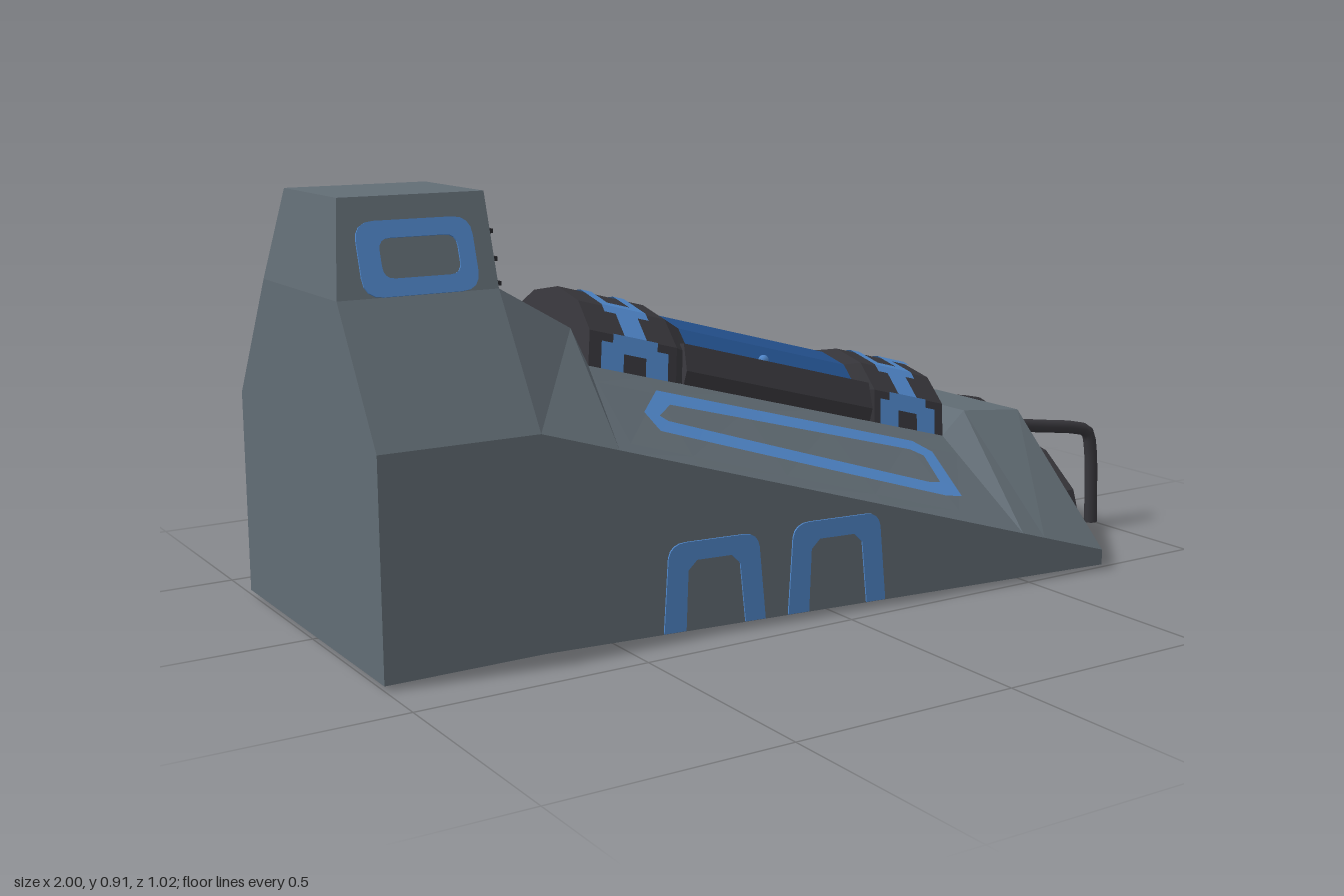
import * as THREE from 'three';

const mat = (name, color) => new THREE.MeshStandardMaterial({ name, color, side: THREE.DoubleSide });
const V = (x, y, z) => new THREE.Vector3(x, y, z);
const lerp = THREE.MathUtils.lerp;

// Flat-shaded mesh from a list of four-cornered faces
function quadMesh(name, quads, material) {
  const p = [];
  for (const [a, b, c, d] of quads) for (const v of [a, b, c, a, c, d]) p.push(v.x, v.y, v.z);
  const g = new THREE.BufferGeometry();
  g.setAttribute('position', new THREE.Float32BufferAttribute(p, 3));
  g.computeVertexNormals();
  const m = new THREE.Mesh(g, material);
  m.name = name;
  return m;
}

// Point on a six-sided half-arch, a = 0 (+z foot) .. 6 (-z foot)
function archPoint(x, w, h, a) {
  const at = i => V(x, h * Math.sin(i * Math.PI / 6), w * Math.cos(i * Math.PI / 6));
  const i = Math.min(5, Math.floor(a));
  return at(i).lerp(at(i + 1), a - i);
}

// Closed loft through half-arch sections [x, half width, height]
function archLoft(name, secs, material) {
  const q = [];
  const P = (s, a) => archPoint(s[0], s[1], s[2], a);
  for (let a = 0; a < 6; a++) {
    for (let i = 0; i + 1 < secs.length; i++)
      q.push([P(secs[i], a), P(secs[i + 1], a), P(secs[i + 1], a + 1), P(secs[i], a + 1)]);
    const f = secs[0], l = secs[secs.length - 1];
    q.push([V(f[0], 0, 0), P(f, a), P(f, a + 1), V(f[0], 0, 0)]);
    q.push([V(l[0], 0, 0), P(l, a + 1), P(l, a), V(l[0], 0, 0)]);
  }
  return quadMesh(name, q, material);
}

// Thin plate straddling a plane given by an origin and two axes
function plate(name, shape, origin, xAxis, yAxis, material, depth = 0.008) {
  const g = new THREE.ExtrudeGeometry(shape, { depth, bevelEnabled: false, curveSegments: 4 });
  g.translate(0, 0, -depth / 2);
  const X = xAxis.clone().normalize(), Y = yAxis.clone().normalize();
  g.applyMatrix4(new THREE.Matrix4().makeBasis(X, Y, X.clone().cross(Y)).setPosition(origin));
  const m = new THREE.Mesh(g, material);
  m.name = name;
  return m;
}

function roundRect(x0, y0, x1, y1, r, Type = THREE.Shape) {
  const s = new Type();
  s.moveTo(x0 + r, y0).lineTo(x1 - r, y0).quadraticCurveTo(x1, y0, x1, y0 + r);
  s.lineTo(x1, y1 - r).quadraticCurveTo(x1, y1, x1 - r, y1);
  s.lineTo(x0 + r, y1).quadraticCurveTo(x0, y1, x0, y1 - r);
  s.lineTo(x0, y0 + r).quadraticCurveTo(x0, y0, x0 + r, y0);
  return s;
}
const poly = pts => new THREE.Shape(pts.map(p => new THREE.Vector2(p[0], p[1])));

// Hull lines: outer shoulder and inner edge of the sloping side panels
const outer = (x, s) => V(x, 0.455 - 0.298 * Math.max(0, x + 0.66), s * (0.37 + 0.102 * Math.max(0, x + 0.66)));
const inner = (x, s) => V(x, lerp(0.545, 0.285, (x + 0.46) / 0.95), s * 0.2);
const panel = (x, t, s) => outer(x, s).lerp(inner(x, s), t);
function onPanel(x, z, lift) {
  const o = outer(x, 1).z;
  return panel(x, (o - z) / (o - 0.2), 1).add(V(0, lift, lift * 0.7));
}

export function createModel() {
  const grey = mat('hull grey', 0x626d75), dark = mat('dark metal', 0x37363b), black = mat('black panel', 0x29292d);
  const blue = mat('light blue paint', 0x4f86c9), mid = mat('mid blue paint', 0x416a9f), navy = mat('navy paint', 0x1e3f6b);
  const glass = mat('blue glass', 0x245290), orange = mat('orange', 0xc65c10), teal = mat('teal', 0x6fb5b0);
  const model = new THREE.Group();
  const add = (...m) => model.add(...m);

  // Hull shell, open below
  const q = [];
  const ridge = [[-0.66, 0.72, 0.2], [-0.495, 0.625, 0.19], [-0.46, 0.545, 0.2], [0.49, 0.285, 0.2], [0.55, 0.34, 0.205], [0.715, 0.325, 0.21]];
  const R = (i, s) => V(ridge[i][0], ridge[i][1], s * ridge[i][2]);
  const low = (x, s) => outer(x, s).setY(0.01);
  for (const s of [1, -1]) {
    q.push([low(-1, s), low(-0.66, s), outer(-0.66, s), outer(-1, s)]);
    q.push([low(-0.66, s), low(0.715, s), outer(0.715, s), outer(-0.66, s)]);
    q.push([outer(-1, s), outer(-0.66, s), V(-0.66, 0.72, 0.2 * s), V(-1, 0.72, 0.2 * s)]);
    q.push([V(-1, 0.72, 0.2 * s), V(-0.66, 0.72, 0.2 * s), V(-0.66, 0.91, 0.14 * s), V(-0.97, 0.91, 0.14 * s)]);
    for (const i of [0, 1, 3, 4]) q.push([outer(ridge[i][0], s), outer(ridge[i + 1][0], s), R(i + 1, s), R(i, s)]);
    const xs = [-0.46, -0.32, -0.1, 0.12, 0.34, 0.49], ts = [0, 0.11, 0.81, 1];
    for (let i = 0; i < 5; i++) for (let j = 0; j < 3; j++) {
      if (s < 0 && j === 1 && i > 0 && i < 4) continue; // opening of the side recess
      q.push([panel(xs[i], ts[j], s), panel(xs[i + 1], ts[j], s), panel(xs[i + 1], ts[j + 1], s), panel(xs[i], ts[j + 1], s)]);
    }
  }
  for (let i = 0; i < 5; i++) q.push([R(i, 1), R(i + 1, 1), R(i + 1, -1), R(i, -1)]);
  const across = (a, b) => [a, b, b.clone().setZ(-b.z), a.clone().setZ(-a.z)];
  q.push(across(low(0.715, 1), outer(0.715, 1)), across(outer(0.715, 1), R(5, 1)));
  q.push(across(low(-1, 1), outer(-1, 1)), across(outer(-1, 1), V(-1, 0.72, 0.2)));
  q.push(across(V(-1, 0.72, 0.2), V(-0.97, 0.91, 0.14)), across(V(-0.97, 0.91, 0.14), V(-0.66, 0.91, 0.14)));
  q.push(across(V(-0.66, 0.72, 0.2), V(-0.66, 0.91, 0.14)));
  add(quadMesh('hull', q, grey));

  // Side recess with its canister
  const rim = [[-0.32, 0.11], [0.34, 0.11], [0.34, 0.81], [-0.32, 0.81]].map(([x, t]) => panel(x, t, -1));
  const mid4 = rim.reduce((a, b) => a.add(b), V(0, 0, 0)).multiplyScalar(0.25);
  const floor = rim.map(p => p.clone().lerp(mid4, 0.16).add(V(0, -0.055, 0.045)));
  add(quadMesh('sideRecess', [floor, ...rim.map((p, i) => [p, rim[(i + 1) % 4], floor[(i + 1) % 4], floor[i]])], grey));
  const pipe = (name, pts, r, m) => {
    const mesh = new THREE.Mesh(new THREE.TubeGeometry(new THREE.CatmullRomCurve3(pts, false, 'centripetal'), 24, r, 10), m);
    mesh.name = name;
    return mesh;
  };
  add(pipe('canisterRod', [V(-0.27, 0.32, -0.25), V(-0.265, 0.385, -0.287), V(-0.22, 0.385, -0.296), V(0.2, 0.282, -0.324), V(0.29, 0.26, -0.335), V(0.315, 0.2, -0.31)], 0.026, dark));
  const a = V(-0.2, 0.378, -0.296), b = V(0.165, 0.29, -0.322);
  const can = new THREE.Mesh(new THREE.CylinderGeometry(0.044, 0.044, a.distanceTo(b), 12), orange);
  can.name = 'canister';
  can.position.copy(a).lerp(b, 0.5);
  can.quaternion.setFromUnitVectors(V(0, 1, 0), b.clone().sub(a).normalize());
  add(can);

  // Sloping capsule: collars, glass and side bars
  const pod = new THREE.Group();
  pod.name = 'capsule';
  pod.position.set(-0.46, 0.545, 0);
  pod.rotation.z = -Math.atan2(0.26, 0.95);
  pod.add(archLoft('upperCollar', [[0, 0.2, 0.145], [0.22, 0.2, 0.145], [0.265, 0.183, 0.13]], dark));
  pod.add(archLoft('lowerCollar', [[0.735, 0.183, 0.13], [0.775, 0.2, 0.145], [0.985, 0.2, 0.145]], dark));
  pod.add(archLoft('glass', [[0.25, 0.183, 0.13], [0.745, 0.183, 0.13]], glass));
  for (const s of [1, -1])
    pod.add(plate('sideBar', poly([[0.2, 0], [0.2, 0.03], [0.165, 0.085], [0.14, 0.08], [0.14, 0]]), V(0.5, 0, 0), V(0, 0, s), V(0, 1, 0), dark, 0.52));
  const dot = new THREE.Mesh(new THREE.SphereGeometry(0.012, 8, 6), blue);
  dot.name = 'glassMark';
  dot.position.set(0.475, 0.085, 0.137);
  pod.add(dot);
  // Painted marks: rows run from the crown to the foot, columns from the outer end inwards
  const rows = ['..B..B..', '..B..B..', '..B..B..', '..BBBB..', '..BBBB..', '...BB...', '...BB...', '...BB...', '..BBBB..', '.BBBBBB.', '.BB..BB.', '.BB..BB.'];
  for (const end of [0, 1]) {
    const cells = [], X = k => end ? 0.985 - 0.028 * k : 0.028 * k;
    rows.forEach((row, r) => {
      const line = end && r < 1 ? 'BBB' + row.slice(3) : row;
      for (let k = 0; k < 8; k++) if (line[k] === 'B') for (const s of [1, -1]) {
        const P = (kk, rr) => archPoint(X(kk), 0.204, 0.149, 3 - s * rr / 4);
        cells.push([P(k, r), P(k + 1, r), P(k + 1, r + 1), P(k, r + 1)]);
      }
    });
    pod.add(quadMesh('collarPaint', cells, blue));
  }
  add(pod);

  // Nose drum and bent rails
  add(archLoft('noseDrum', [[0.7, 0.277, 0.22], [0.88, 0.277, 0.22], [0.91, 0.24, 0.195]], dark));
  for (const s of [1, -1])
    add(pipe('rail', [V(0.69, 0.288, 0.198 * s), V(0.8, 0.272, 0.198 * s), V(0.92, 0.254, 0.198 * s), V(0.96, 0.24, 0.198 * s), V(0.973, 0.2, 0.198 * s), V(0.984, 0.005, 0.198 * s)], 0.016, dark));

  // Louvred vent on the tower
  add(plate('vent', poly([[-0.187, 0.727], [0.187, 0.727], [0.133, 0.902], [-0.133, 0.902]]), V(-0.66, 0, 0), V(0, 0, -1), V(0, 1, 0), dark));
  for (const y of [0.728, 0.776, 0.83]) {
    const slat = new THREE.Mesh(new THREE.BoxGeometry(0.018, 0.009, 2 * (0.187 - (y - 0.727) * 0.309)), black);
    slat.name = 'ventSlat';
    slat.position.set(-0.657, y, 0);
    add(slat);
  }

  // Painted frames on both tower sides
  for (const s of [1, -1]) {
    const frame = roundRect(-0.945, 0.0, -0.7, 0.15, 0.04);
    frame.holes.push(roundRect(-0.9, 0.035, -0.735, 0.115, 0.025, THREE.Path));
    add(plate('towerFrame', frame, V(0, 0.72, 0.2 * s), V(1, 0, 0), V(0, 0.19, -0.06 * s), blue));
  }

  // Painted C on the step behind the capsule
  const c = new THREE.Shape();
  c.absarc(0, 0, 0.075, 0.4, 5.2, false);
  c.absarc(0, 0, 0.042, 5.2, 0.4, true);
  add(plate('stepMark', c, V(-0.58, 0.676, 0), V(0, 0, 1), V(-0.165, 0.095, 0), blue));

  // Painted band on the sloping front panel, laid on both skins
  const o = [[-0.385, 0.295], [-0.32, 0.235], [0.36, 0.245], [0.4, 0.27], [0.38, 0.4], [0.33, 0.405], [-0.37, 0.335]];
  const n = [[-0.35, 0.298], [-0.305, 0.266], [0.33, 0.275], [0.36, 0.288], [0.345, 0.365], [0.31, 0.37], [-0.335, 0.308]];
  const band = [];
  for (const lift of [0.004, -0.004]) for (let i = 0; i < 7; i++) for (let k = 0; k < 8; k++) {
    const P = (loop, f) => {
      const u = loop[i], w = loop[(i + 1) % 7];
      return onPanel(lerp(u[0], w[0], f), lerp(u[1], w[1], f), lift);
    };
    band.push([P(o, k / 8), P(o, (k + 1) / 8), P(n, (k + 1) / 8), P(n, k / 8)]);
  }
  add(quadMesh('panelBand', band, blue));

  // Painted arches on the front wall
  const wall = (name, shape, s, m, depth) => add(plate(name, shape, V(-0.66, 0, 0.37 * s), V(1, 0, 0.102 * s), V(0, 1, 0), m, depth));
  for (const [x, w, h] of [[0.26, 0.235, 0.2], [0.55, 0.24, 0.208]]) {
    const s = new THREE.Shape();
    s.moveTo(x, 0.012).lineTo(x + 0.01, h - 0.03).quadraticCurveTo(x + 0.015, h, x + 0.05, h);
    s.lineTo(x + w - 0.05, h).quadraticCurveTo(x + w - 0.02, h, x + w - 0.015, h - 0.03).lineTo(x + w, 0.012);
    s.lineTo(x + w - 0.047, 0.012).lineTo(x + w - 0.06, h - 0.06).lineTo(x + w - 0.08, h - 0.04);
    s.lineTo(x + 0.075, h - 0.04).lineTo(x + 0.055, h - 0.06).lineTo(x + 0.05, 0.012);
    wall('wallArch', s, 1, blue);
  }

  // Painted wedge on the back wall
  wall('wedge', poly([[0.99, 0.05], [0.99, 0.1], [0.92, 0.145], [0.05, 0.41], [0.02, 0.395], [0.02, 0.085], [0.06, 0.075]]), -1, mid, 0.006);
  wall('wedgeInset', poly([[0.7, 0.085], [0.7, 0.1], [0.05, 0.325], [0.05, 0.105]]), -1, navy, 0.0095);

  // Dark plaque with a small standing figure
  const back = (name, shape, m, depth) => add(plate(name, shape, V(-0.845, 0, -0.37), V(1, 0, 0), V(0, 1, 0), m, depth));
  back('plaque', roundRect(-0.115, 0.04, 0.115, 0.42, 0.03), black, 0.005);
  back('figureHead', roundRect(-0.017, 0.335, 0.017, 0.38, 0.012), teal, 0.009);
  back('figureTorso', poly([[-0.05, 0.325], [0.05, 0.325], [0.055, 0.27], [0.03, 0.215], [-0.03, 0.215], [-0.055, 0.27]]), teal, 0.008);
  back('figureBelt', poly([[-0.035, 0.25], [0.035, 0.25], [0.03, 0.225], [-0.03, 0.225]]), blue, 0.0095);
  for (const s of [1, -1])
    back('figureLeg', poly([[s * 0.006, 0.22], [s * 0.034, 0.22], [s * 0.028, 0.14], [s * 0.03, 0.075], [s * 0.012, 0.075]]), teal, 0.008);

  return model;
}
